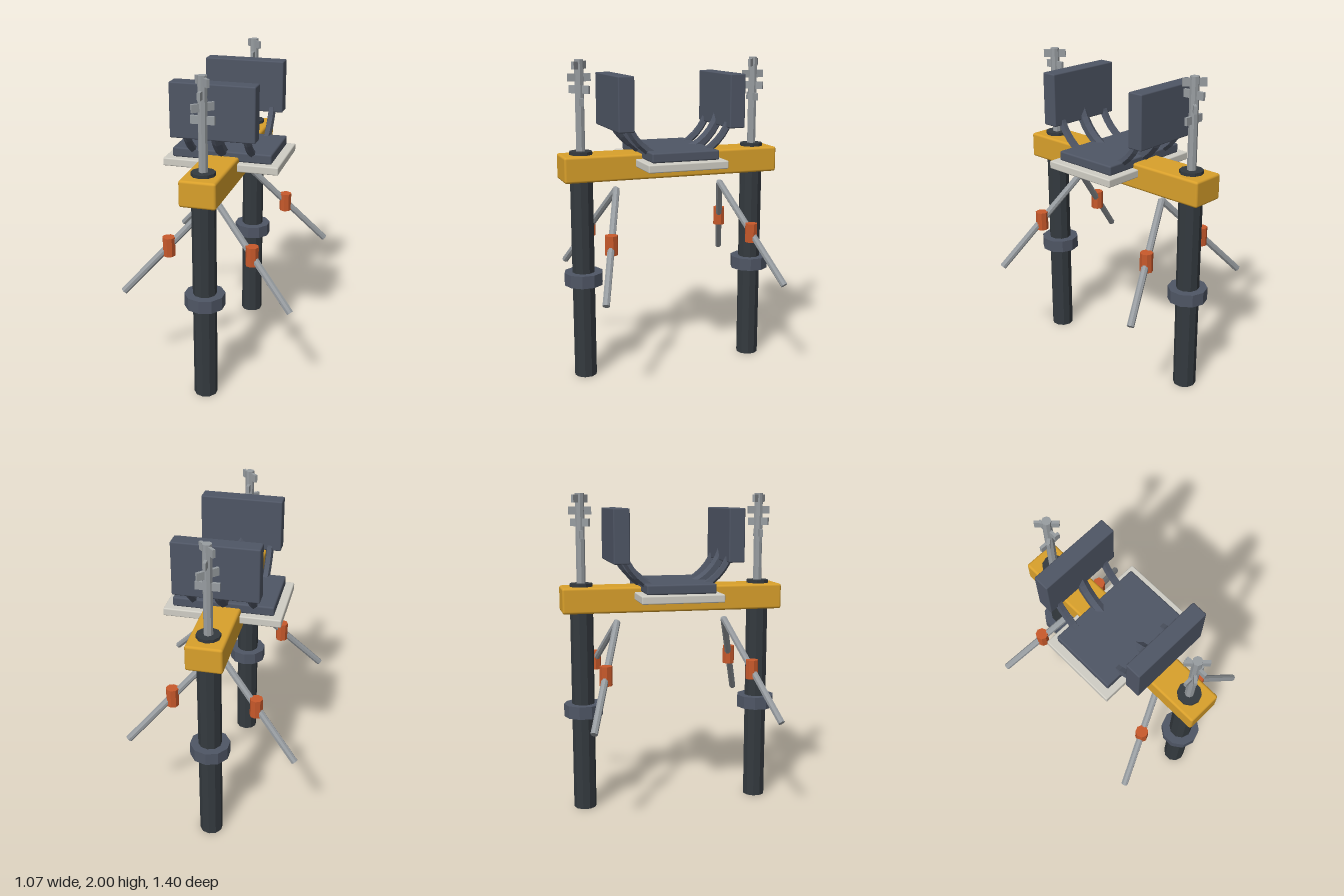
import * as THREE from 'three';
import { RoundedBoxGeometry } from 'three/addons/geometries/RoundedBoxGeometry.js';

const paint = (name, color) => {
  const m = new THREE.MeshStandardMaterial({ color });
  m.name = name;
  return m;
};

// Facet a geometry so that every side reads as flat
const faceted = (geometry) => {
  const g = geometry.toNonIndexed();
  g.computeVertexNormals();
  return g;
};

const prism = (radius, height, sides) =>
  faceted(new THREE.CylinderGeometry(radius, radius, height, sides));

export function createModel() {
  const yellow = paint('beam yellow', 0xd9a02b);
  const dark = paint('post charcoal', 0x343a3f);
  const slate = paint('pad slate', 0x4f5665);
  const pale = paint('plate pale grey', 0xd0cec5);
  const steel = paint('steel grey', 0x989da1);
  const orange = paint('grip orange', 0xc8592b);

  const model = new THREE.Group();
  model.name = 'cradleStand';

  const add = (name, geometry, material, x, y, z, parent = model) => {
    const mesh = new THREE.Mesh(geometry, material);
    mesh.name = name;
    mesh.position.set(x, y, z);
    parent.add(mesh);
    return mesh;
  };

  // Main beam, base plate and seat pad
  add('beam', new RoundedBoxGeometry(0.22, 0.16, 1.4, 2, 0.015), yellow, 0, 1.35, 0);
  add('basePlate', new RoundedBoxGeometry(0.72, 0.05, 0.51, 2, 0.008), pale, 0, 1.375, 0);
  add('seatPad', new RoundedBoxGeometry(0.62, 0.06, 0.43, 2, 0.01), slate, 0, 1.43, 0);

  // Half-ring ribs carrying the two upright pads
  for (const [x, radius, sides] of [[-0.185, 0.025, 5], [0, 0.036, 6], [0.185, 0.025, 5]]) {
    const rib = new THREE.TorusGeometry(0.355, radius, sides, 20, Math.PI);
    rib.rotateZ(Math.PI).rotateY(Math.PI / 2);
    add('cradleRib', faceted(rib), slate, x, 1.75, 0);
  }

  for (const s of [1, -1]) {
    const end = s > 0 ? 'front' : 'back';
    add(end + 'UprightPad', new RoundedBoxGeometry(0.514, 0.33, 0.1, 2, 0.008), slate, 0, 1.745, s * 0.355);

    // Post with collar, and a toothed spindle on top
    const post = new THREE.Group();
    post.name = end + 'Post';
    post.position.z = s * 0.572;
    model.add(post);
    add('postTube', prism(0.072, 1.45, 10), dark, 0, 0.725, 0, post);
    add('postCollar', prism(0.123, 0.08, 10), slate, 0, 0.647, 0, post);
    add('spindle', prism(0.028, 0.56, 8), steel, 0, 1.72, 0, post);
    for (let k = 0; k < 4; k++) {
      const tooth = add('spindleTooth', new THREE.BoxGeometry(0.14, 0.047, 0.018), steel, 0, 1.75 + k * 0.072, 0, post);
      tooth.rotation.y = (k * Math.PI) / 4;
    }

    // Splayed rods, each with an upright grip at its middle
    for (const t of [1, -1]) {
      const top = new THREE.Vector3(0, 1.2, s * 0.35);
      const foot = new THREE.Vector3(t * 0.52, 0.625, s * 0.572);
      const along = foot.clone().sub(top);
      const mid = top.clone().lerp(foot, 0.5);
      const rod = add(end + 'Rod', prism(0.022, along.length(), 8), steel, mid.x, mid.y, mid.z);
      rod.quaternion.setFromUnitVectors(new THREE.Vector3(0, 1, 0), along.normalize());
      add(end + 'Grip', prism(0.04, 0.12, 8), orange, mid.x, mid.y, mid.z);
    }
  }

  return model;
}
